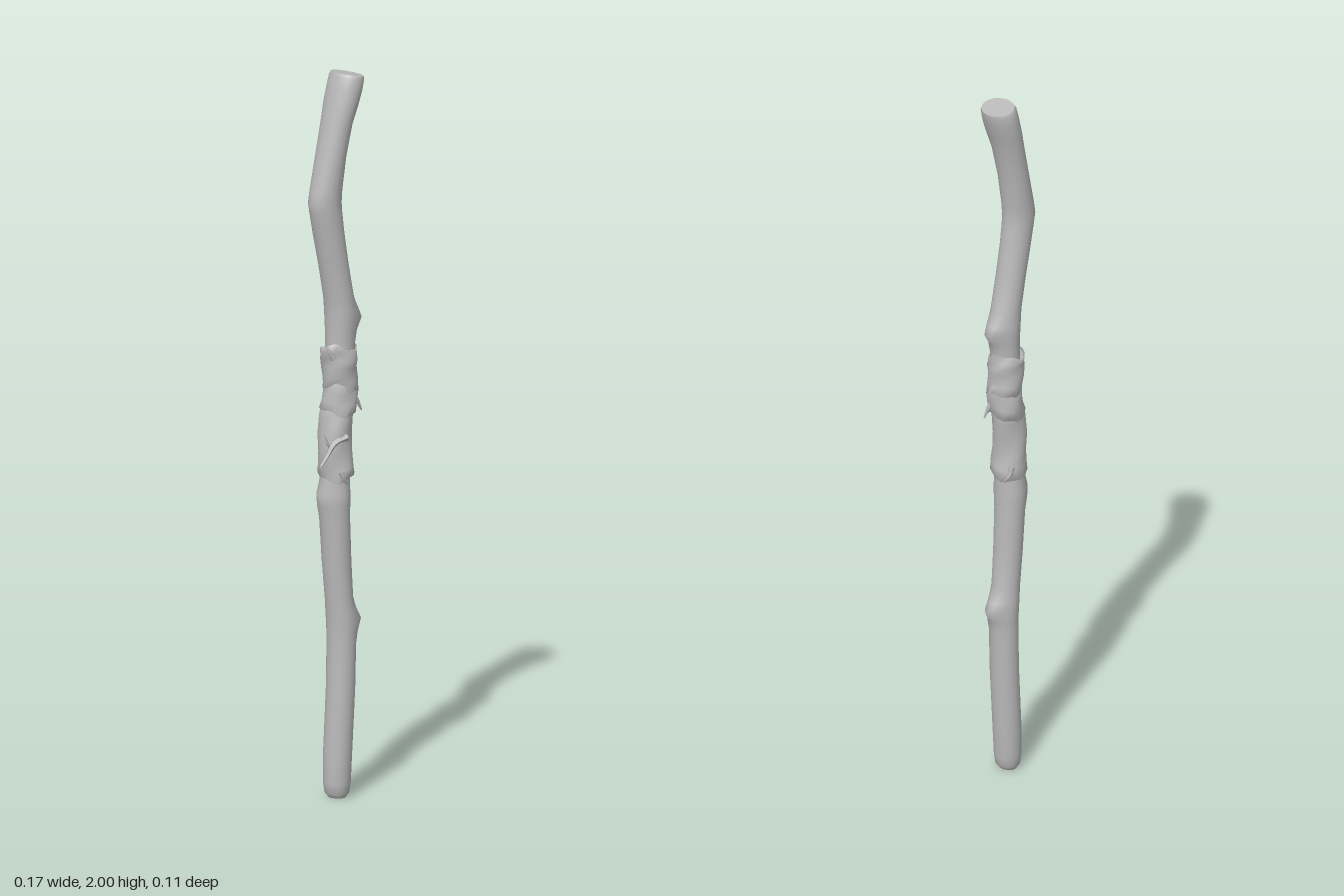
import * as THREE from 'three';

const SEGS = 20;

// Skin over stacked oval sections [y, left x, right x, half depth]; warp may move each point
function loft(sections, warp) {
  const pos = [], index = [];
  sections.forEach(([y, xl, xr, d], row) => {
    for (let i = 0; i < SEGS; i++) {
      const a = (i / SEGS) * Math.PI * 2;
      const p = new THREE.Vector3((xl + xr) / 2 + (xr - xl) / 2 * Math.cos(a), y, d * Math.sin(a));
      if (warp) warp(p, a, row);
      pos.push(p.x, p.y, p.z);
      if (row < sections.length - 1) {
        const j = (i + 1) % SEGS, b = row * SEGS, c = b + SEGS;
        index.push(b + i, c + i, b + j, b + j, c + i, c + j);
      }
    }
  });
  const g = new THREE.BufferGeometry();
  g.setAttribute('position', new THREE.Float32BufferAttribute(pos, 3));
  g.setIndex(index);
  g.computeVertexNormals();
  return g;
}

// Fan closing the first or last ring of a loft
function endCap(geometry, top) {
  const p = geometry.attributes.position, start = top ? p.count - SEGS : 0;
  const pos = [0, 0, 0], index = [];
  for (let i = 0; i < SEGS; i++) {
    const v = [p.getX(start + i), p.getY(start + i), p.getZ(start + i)];
    pos.push(...v);
    v.forEach((n, k) => { pos[k] += n / SEGS; });
    const a = 1 + i, b = 1 + (i + 1) % SEGS;
    index.push(0, ...(top ? [b, a] : [a, b]));
  }
  const g = new THREE.BufferGeometry();
  g.setAttribute('position', new THREE.Float32BufferAttribute(pos, 3));
  g.setIndex(index);
  g.computeVertexNormals();
  return g;
}

export function createModel() {
  const group = new THREE.Group();
  const wood = new THREE.MeshStandardMaterial({ color: 0xbababa, side: THREE.DoubleSide });
  wood.name = 'pale grey wood';
  const add = (name, geometry) => {
    const m = new THREE.Mesh(geometry, wood);
    m.name = name;
    group.add(m);
    return m;
  };

  // Crooked stick
  const stick = [
    [0.0, -0.018, 0.026, 0.026], [0.012, -0.028, 0.036, 0.034], [0.04, -0.033, 0.041, 0.038],
    [0.12, -0.032, 0.045, 0.04], [0.3, -0.022, 0.055, 0.041], [0.42, -0.02, 0.058, 0.041],
    [0.455, -0.02, 0.06, 0.042], [0.485, -0.021, 0.059, 0.043], [0.51, -0.023, 0.054, 0.042],
    [0.55, -0.026, 0.048, 0.04], [0.65, -0.036, 0.042, 0.041], [0.77, -0.044, 0.037, 0.043],
    [0.81, -0.046, 0.036, 0.047], [0.84, -0.044, 0.036, 0.047], [0.88, -0.042, 0.036, 0.042],
    [0.98, -0.04, 0.036, 0.04], [1.12, -0.026, 0.05, 0.04], [1.25, -0.026, 0.055, 0.04],
    [1.285, -0.025, 0.057, 0.042], [1.315, -0.026, 0.058, 0.044], [1.34, -0.027, 0.055, 0.044],
    [1.38, -0.031, 0.05, 0.042], [1.47, -0.048, 0.033, 0.041], [1.56, -0.068, 0.019, 0.041],
    [1.62, -0.08, 0.012, 0.041], [1.645, -0.084, 0.01, 0.042], [1.68, -0.078, 0.012, 0.042],
    [1.77, -0.058, 0.024, 0.044], [1.86, -0.038, 0.044, 0.048], [1.91, -0.026, 0.061, 0.054],
    [1.95, -0.015, 0.074, 0.055], [1.98, -0.006, 0.08, 0.054], [1.99, 0.0, 0.08, 0.049],
  ];
  // Knots: height, x direction, reach
  const knots = [[0.487, 1, 0.022], [0.832, -1, 0.014], [1.32, 1, 0.026]];
  const body = loft(stick, (p, a) => {
    const y = p.y;
    for (const [ky, side, reach] of knots) {
      const facing = Math.max(0, side * Math.cos(a));
      p.x += side * reach * facing ** 3 * Math.exp(-(((y - ky) / 0.03) ** 2));
    }
    // Slanted cut at the top
    if (y > 1.9) p.y -= (p.x - 0.04) * 0.2 * (y - 1.9) / 0.09;
  });
  add('stick', body);
  add('topCut', endCap(body, true));
  add('bottomCut', endCap(body, false));

  // Loose bark sleeves with ragged rims; later ones lap over earlier ones
  const sleeves = {
    lowerBark: [[0.885, -0.04, 0.037, 0.041], [0.885, -0.045, 0.05, 0.053], [0.91, -0.045, 0.047, 0.05],
      [0.95, -0.049, 0.041, 0.046], [1.0, -0.05, 0.043, 0.045], [1.05, -0.042, 0.049, 0.045],
      [1.08, -0.036, 0.053, 0.044], [1.1, -0.026, 0.05, 0.04]],
    middleBark: [[1.065, -0.034, 0.046, 0.04], [1.065, -0.041, 0.059, 0.049], [1.09, -0.036, 0.059, 0.048],
      [1.12, -0.032, 0.064, 0.046], [1.15, -0.031, 0.059, 0.044], [1.16, -0.026, 0.052, 0.04]],
    upperBark: [[1.125, -0.026, 0.052, 0.04], [1.13, -0.031, 0.066, 0.047], [1.155, -0.033, 0.061, 0.047],
      [1.19, -0.036, 0.058, 0.049], [1.21, -0.037, 0.063, 0.05], [1.225, -0.042, 0.058, 0.047],
      [1.243, -0.043, 0.059, 0.046], [1.243, -0.028, 0.054, 0.04]],
  };
  Object.entries(sleeves).forEach(([name, sections], k) => {
    add(name, loft(sections, (p, a, row) => {
      const rim = row < 2 || row > sections.length - 3;
      p.y += (rim ? 0.01 : 0.006) * Math.sin(2 * a + 1.3 * k) + (rim ? 0.004 * Math.sin(5 * a + k) : 0);
      const r = 0.002 * Math.sin(3 * a + row * 1.9 + k);
      p.x += r * Math.cos(a);
      p.z += r * Math.sin(a);
    }));
  });

  // Torn bark splinters: tapered slivers along bent paths
  const splinter = (name, points, width) => {
    const curve = new THREE.CatmullRomCurve3(points.map(q => new THREE.Vector3(...q)));
    const g = new THREE.TubeGeometry(curve, 8, width, 5, false);
    const p = g.attributes.position, c = new THREE.Vector3(), v = new THREE.Vector3();
    for (let i = 0; i < p.count; i++) {
      const t = Math.floor(i / 6) / 8;
      curve.getPointAt(t, c);
      v.fromBufferAttribute(p, i).sub(c).multiplyScalar(1 - 0.8 * t).add(c);
      p.setXYZ(i, v.x, v.y, v.z);
    }
    g.computeVertexNormals();
    add(name, g);
  };
  splinter('longSplinter', [[0.005, 1.0, 0.04], [-0.035, 0.985, 0.037], [-0.056, 0.955, 0.036], [-0.081, 0.93, 0.039]], 0.012);
  splinter('forkSplinter', [[-0.035, 0.97, 0.034], [-0.05, 0.985, 0.03], [-0.058, 1.01, 0.026]], 0.007);
  splinter('rightSplinter', [[0.045, 1.105, 0.015], [0.058, 1.085, 0.02], [0.071, 1.06, 0.022]], 0.01);
  splinter('hemSplinter', [[-0.015, 0.905, 0.045], [-0.012, 0.89, 0.05], [0.0, 0.87, 0.051]], 0.009);
  splinter('backSplinter', [[0.03, 0.92, -0.04], [0.038, 0.9, -0.044], [0.05, 0.885, -0.036]], 0.01);
  splinter('upperSplinter', [[-0.03, 1.215, 0.03], [-0.042, 1.235, 0.026], [-0.047, 1.252, 0.02]], 0.008);
  return group;
}
